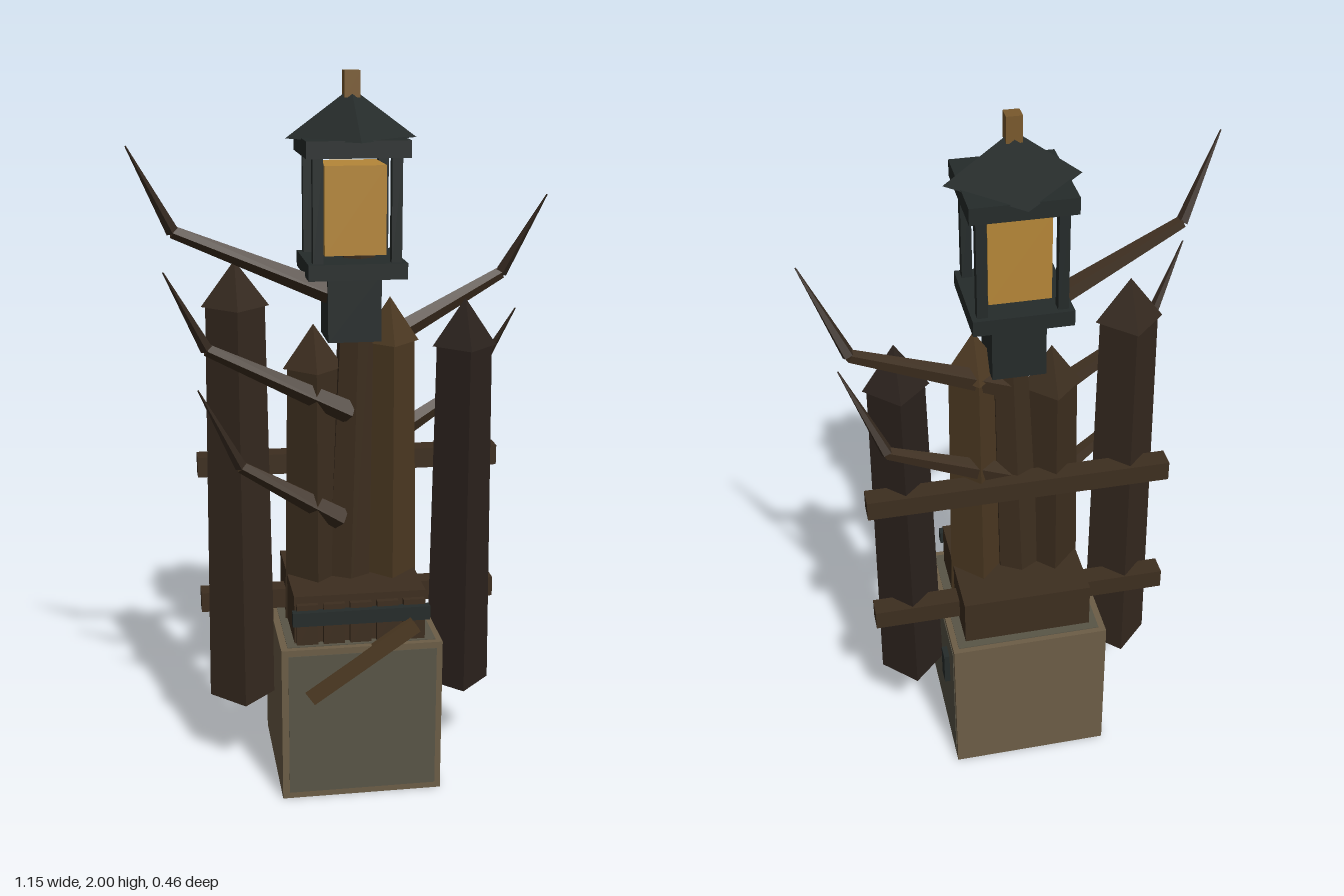
import * as THREE from 'three';

const CX = 0.018; // axis of the base and lantern

export function createModel() {
  const root = new THREE.Group();
  root.name = 'lanternPost';
  const mat = (color) => new THREE.MeshStandardMaterial({ color, flatShading: true });
  const darkWood = mat(0x35291f), blackWood = mat(0x2b221d), wood = mat(0x3d2e1f);
  const lightWood = mat(0x4c3922), stone = mat(0x6c5d46), panel = mat(0x595546);
  const iron = mat(0x252b2a), glow = mat(0xb58638), brass = mat(0x79592c);

  const add = (name, geo, m, parent = root) => {
    const mesh = new THREE.Mesh(geo, m);
    mesh.name = name;
    parent.add(mesh);
    return mesh;
  };
  // Box given by its extents
  const box = (name, m, x0, x1, y0, y1, z0, z1, parent) => {
    const b = add(name, new THREE.BoxGeometry(x1 - x0, y1 - y0, z1 - z0), m, parent);
    b.position.set((x0 + x1) / 2, (y0 + y1) / 2, (z0 + z1) / 2);
    return b;
  };
  // Tapered round between two points
  const limb = (name, m, a, b, ra, rb, sides, parent) => {
    const A = new THREE.Vector3(...a), B = new THREE.Vector3(...b);
    const d = B.clone().sub(A);
    const mesh = add(name, new THREE.CylinderGeometry(rb, ra, d.length(), sides), m, parent);
    mesh.position.copy(A).add(B).multiplyScalar(0.5);
    mesh.quaternion.setFromUnitVectors(new THREE.Vector3(0, 1, 0), d.normalize());
    return mesh;
  };

  // Stone base with inset-coloured panels and a small latch
  box('base', stone, CX - 0.227, CX + 0.227, 0, 0.455, -0.227, 0.225);
  box('frontPanel', panel, -0.19, 0.228, 0.018, 0.437, 0.2, 0.227);
  box('sidePanel', panel, 0.2, 0.247, 0.018, 0.437, -0.21, 0.207);
  box('topPanel', panel, -0.19, 0.228, 0.43, 0.457, -0.21, 0.207);
  box('latch', iron, 0.24, 0.263, 0.263, 0.365, -0.145, -0.1);

  // Wooden plinth, front slats, iron strap and nailed plank
  box('plinth', wood, CX - 0.185, CX + 0.185, 0.45, 0.595, -0.185, 0.18);
  for (let i = 0; i < 5; i++) {
    const x = CX - 0.15 + i * 0.075;
    box('slat', wood, x - 0.03, x + 0.03, 0.45, 0.575, 0.175, 0.197);
  }
  box('strap', iron, -0.175, 0.21, 0.52, 0.56, 0.19, 0.215);
  const plank = add('nailedPlank', new THREE.BoxGeometry(0.36, 0.045, 0.022), lightWood);
  plank.position.set(0.018, 0.41, 0.222);
  plank.rotation.z = 0.6;

  // Pointed four-sided stakes: x, bottom, shoulder, tip, bottom radius, top radius
  const stakes = [
    [-0.3, 0.23, 1.38, 1.505, 0.095, 0.081, darkWood],
    [0.34, 0.23, 1.25, 1.385, 0.093, 0.079, blackWood],
    [-0.087, 0.45, 1.2, 1.325, 0.086, 0.073, wood],
    [0.127, 0.45, 1.27, 1.395, 0.084, 0.07, lightWood],
  ];
  for (const [x, y0, y1, tip, r0, r1, m] of stakes) {
    const g = new THREE.Group();
    g.name = 'stake';
    root.add(g);
    limb('stakeShaft', m, [x, y0, 0], [x, y1, 0], r0, r1, 4, g);
    const cone = add('stakePoint', new THREE.ConeGeometry(r1 + 0.012, tip - y1, 4), m, g);
    cone.position.set(x, (y1 + tip) / 2, 0);
  }

  // Rails behind the stakes
  for (const y of [0.475, 0.885]) box('rail', wood, -0.412, 0.45, y, y + 0.058, -0.095, -0.035);

  // Leaning trunk
  limb('trunk', wood, [0.005, 0.45, 0], [0.038, 1.53, 0], 0.07, 0.048, 6);

  // Bare branches: root, elbow, tip
  const branches = [
    [[0.02, 1.39, 0.02], [-0.465, 1.6, 0.1], [-0.577, 1.825, 0.166]],
    [[0.01, 1.08, 0.03], [-0.385, 1.285, 0.1], [-0.495, 1.505, 0.166]],
    [[-0.015, 0.77, 0.035], [-0.3, 0.955, 0.1], [-0.414, 1.19, 0.166]],
    [[0.04, 1.225, -0.02], [0.465, 1.435, -0.105], [0.572, 1.662, -0.035]],
    [[0.03, 0.92, -0.02], [0.385, 1.115, -0.105], [0.492, 1.345, -0.035]],
  ];
  for (const [a, b, c] of branches) {
    const g = new THREE.Group();
    g.name = 'branch';
    root.add(g);
    limb('branchArm', wood, a, b, 0.035, 0.018, 5, g);
    limb('branchTwig', darkWood, b, c, 0.018, 0.002, 5, g);
  }

  // Lantern
  const lantern = new THREE.Group();
  lantern.name = 'lantern';
  lantern.position.x = CX;
  root.add(lantern);
  const block = (name, m, h, y0, y1) => box(name, m, -h, h, y0, y1, -h, h, lantern);
  block('collar', iron, 0.073, 1.285, 1.47);
  block('lanternFloor', iron, 0.133, 1.465, 1.508);
  block('lampGlass', glow, 0.083, 1.523, 1.76);
  block('lanternCap', iron, 0.138, 1.783, 1.828);
  for (const x of [-1, 1]) for (const z of [-1, 1]) {
    box('lanternPillar', iron, x * 0.105 - 0.014, x * 0.105 + 0.014, 1.5, 1.79,
      z * 0.105 - 0.014, z * 0.105 + 0.014, lantern);
  }
  const roof = add('lanternRoof', new THREE.ConeGeometry(0.177, 0.13, 4), iron, lantern);
  roof.position.y = 1.89;
  block('finial', brass, 0.021, 1.93, 2);

  return root;
}
